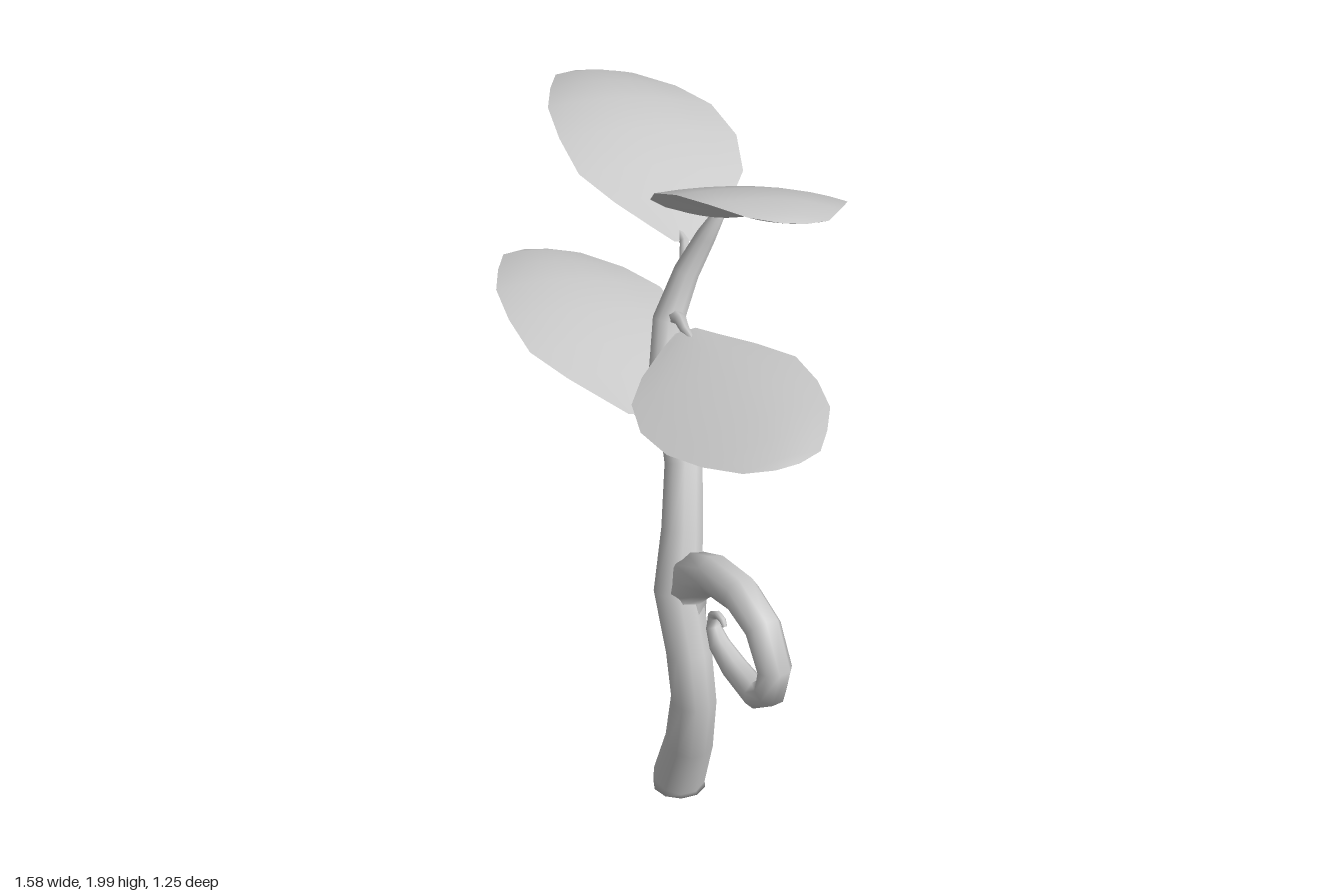
import * as THREE from 'three';

const material = new THREE.MeshStandardMaterial({ color: 0xcccccc, side: THREE.DoubleSide });

function mesh(name, positions, index) {
  const geo = new THREE.BufferGeometry();
  geo.setAttribute('position', new THREE.Float32BufferAttribute(positions, 3));
  geo.setIndex(index);
  geo.computeVertexNormals();
  const m = new THREE.Mesh(geo, material);
  m.name = name;
  return m;
}

// Tapered tube with one ring per [x, y, z, radius], closed at both ends
function limb(name, rows, sides = 8) {
  const pts = rows.map(r => new THREE.Vector3(r[0], r[1], r[2]));
  const pos = [], index = [], last = pts.length - 1;
  const side = new THREE.Vector3(1, 0, 0.2);
  pts.forEach((p, i) => {
    const t = pts[Math.min(i + 1, last)].clone().sub(pts[Math.max(i - 1, 0)]).normalize();
    if (i === 0 && Math.abs(side.dot(t)) > 0.8) side.set(0, 1, 0);
    side.addScaledVector(t, -side.dot(t)).normalize();
    const up = new THREE.Vector3().crossVectors(t, side);
    for (let j = 0; j < sides; j++) {
      const a = j / sides * Math.PI * 2, r = rows[i][3];
      const v = p.clone().addScaledVector(side, Math.cos(a) * r).addScaledVector(up, Math.sin(a) * r);
      pos.push(v.x, v.y, v.z);
      if (i < last) {
        const b = i * sides + j, c = i * sides + (j + 1) % sides;
        index.push(b, c, c + sides, b, c + sides, b + sides);
      }
    }
  });
  // End caps
  const start = pts.length * sides;
  pos.push(...pts[0].toArray(), ...pts[last].toArray());
  for (let j = 0; j < sides; j++) {
    const k = (j + 1) % sides, e = last * sides;
    index.push(start, k, j, start + 1, e + j, e + k);
  }
  return mesh(name, pos, index);
}

// Leaf outline: [fraction of length, left half-width, right half-width]
const leafProfile = [[0, 0.12, 0.12], [0.07, 0.28, 0.36], [0.2, 0.6, 0.75], [0.34, 0.88, 1.04],
  [0.52, 0.92, 1.15], [0.7, 0.85, 1.06], [0.84, 0.65, 0.82], [0.96, 0.43, 0.48], [1, 0.14, 0.14]];

// Lens-shaped leaf with an upper and a lower sheet, from base to tip;
// left is the half-width vector to the left of the growing direction
function leaf(name, base, tip, left, arch, thick = 0.03) {
  const B = new THREE.Vector3(...base), A = new THREE.Vector3(...tip).sub(B);
  const W = new THREE.Vector3(...left);
  const N = new THREE.Vector3().crossVectors(A, W).normalize();
  const pos = [], index = [], cols = 8;
  for (const sheet of [1, -1]) {
    const first = pos.length / 3;
    leafProfile.forEach(([u, wl, wr], i) => {
      // The bend is strongest towards the tip
      const bow = Math.max(0, Math.sin(Math.PI * u ** 1.4));
      for (let j = 0; j <= cols; j++) {
        const v = j / cols * 2 - 1;
        const lift = arch * bow + sheet * thick * (1 - v * v) * Math.sqrt(bow);
        const p = B.clone().addScaledVector(A, u).addScaledVector(W, v * (v > 0 ? wl : wr))
          .addScaledVector(N, lift);
        pos.push(p.x, p.y, p.z);
        if (i < leafProfile.length - 1 && j < cols) {
          const a = first + i * (cols + 1) + j, b = a + 1, c = a + cols + 1, d = c + 1;
          if (sheet > 0) index.push(a, c, b, b, c, d);
          else index.push(a, b, c, b, d, c);
        }
      }
    });
  }
  return mesh(name, pos, index);
}

export function createModel() {
  const group = new THREE.Group();
  group.name = 'climbingPlant';

  // Winding main stem, ending in the top leaf's stalk
  group.add(limb('stem', [
    [0.24, 0, 0.331, 0.072], [0.24, 0.03, 0.331, 0.071], [0.293, 0.18, 0.355, 0.066],
    [0.322, 0.34, 0.372, 0.063], [0.3, 0.48, 0.365, 0.064], [0.238, 0.64, 0.335, 0.067],
    [0.21, 0.8, 0.28, 0.058], [0.16, 0.96, 0.21, 0.053], [0.1, 1.06, 0.165, 0.05],
    [0.02, 1.14, 0.11, 0.048], [-0.022, 1.26, 0.045, 0.044], [-0.01, 1.39, -0.02, 0.036],
    [0.025, 1.5, -0.06, 0.028], [0.052, 1.57, -0.08, 0.018]], 10));

  // Curled tendril growing out of the stem, in a slanted upright plane: [x, y, radius]
  const curl = [[0.295, 0.71, 0.07], [0.38, 0.765, 0.056], [0.51, 0.785, 0.055],
    [0.62, 0.745, 0.052], [0.677, 0.645, 0.049], [0.655, 0.56, 0.045], [0.59, 0.506, 0.041],
    [0.48, 0.522, 0.037], [0.405, 0.55, 0.03], [0.373, 0.59, 0.021], [0.373, 0.625, 0.015],
    [0.395, 0.643, 0.011], [0.42, 0.64, 0.009], [0.43, 0.625, 0.007]];
  group.add(limb('tendril', [[0.29, 0.53, 0.355, 0.045], [0.255, 0.63, 0.33, 0.062],
    ...curl.map(([x, y, r]) => [x, y, 0.3 + 0.39 * (x - 0.24), r])]));

  // Pair of matching leaves on the right, one above the other
  group.add(leaf('upperRightLeaf', [-0.08, 1.415, -0.1], [-0.745, 1.455, -0.525],
    [-0.133, 0.05, 0.205], 0.053));
  group.add(leaf('lowerRightLeaf', [-0.08, 0.955, 0.1], [-0.76, 0.972, -0.315],
    [-0.133, 0.05, 0.205], 0.035));
  group.add(limb('upperRightStalk', [[-0.01, 1.35, -0.01, 0.026], [-0.04, 1.39, -0.055, 0.02],
    [-0.08, 1.413, -0.1, 0.014], [-0.15, 1.422, -0.145, 0.004]], 6));
  group.add(limb('lowerRightStalk', [[0.08, 1.04, 0.16, 0.026], [0.02, 0.99, 0.135, 0.021],
    [-0.04, 0.966, 0.115, 0.016], [-0.09, 0.955, 0.093, 0.013], [-0.15, 0.957, 0.057, 0.004]], 6));

  // Leaf on the left
  group.add(leaf('leftLeaf', [0.08, 1.3, 0.1], [0.765, 1.385, 0.525], [0.133, 0.027, -0.205], -0.008));
  group.add(limb('leftStalk', [[-0.02, 1.28, 0.04, 0.024], [0.035, 1.297, 0.065, 0.017],
    [0.08, 1.301, 0.1, 0.013], [0.15, 1.308, 0.143, 0.004]], 6));

  // Raised leaf at the top
  group.add(leaf('topLeaf', [0.047, 1.565, -0.08], [0.58, 1.965, 0.265], [0.14, -0.07, -0.215], 0.065));
  return group;
}
